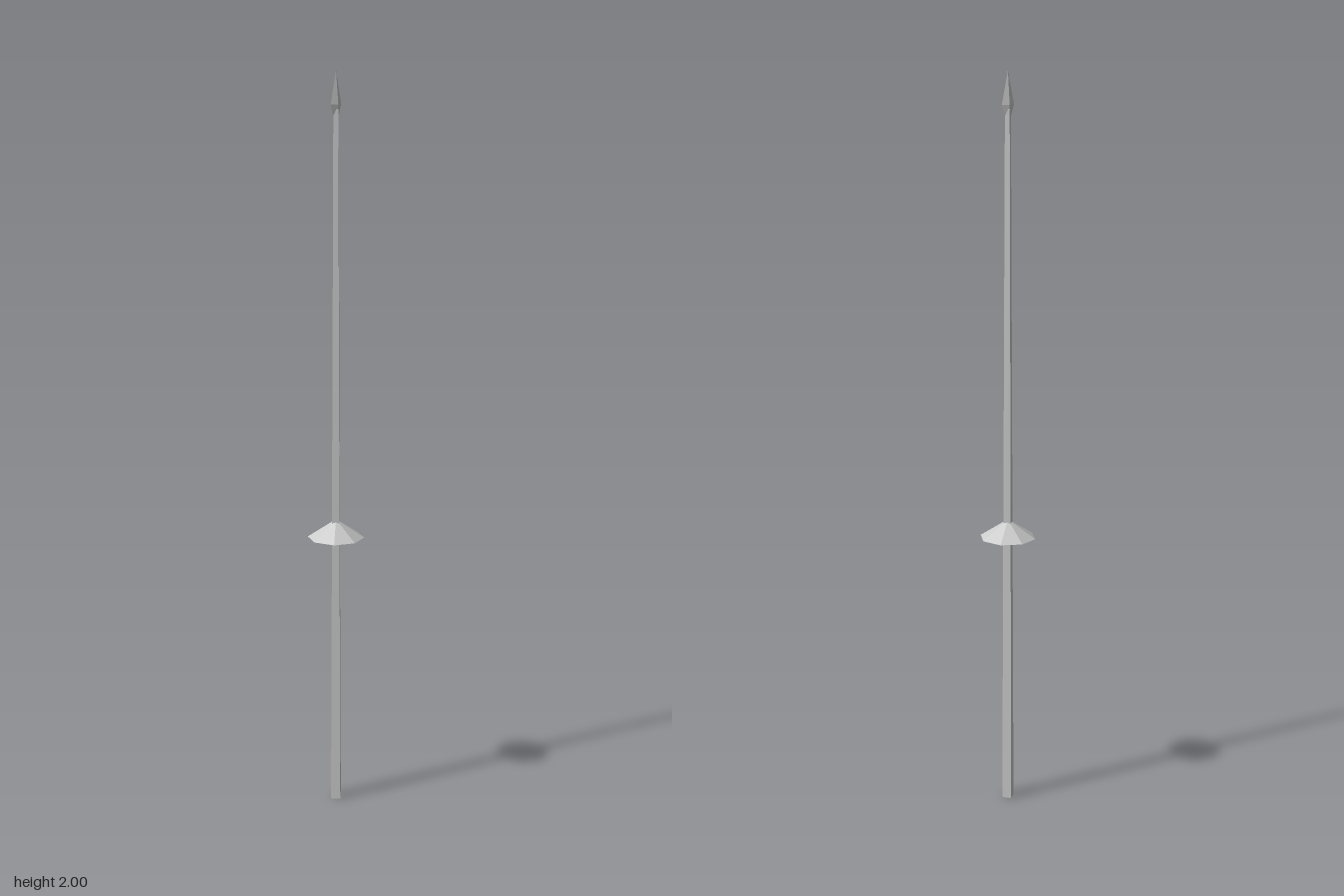
import * as THREE from 'three';

export function createModel() {
  const group = new THREE.Group();
  const solid = new THREE.MeshStandardMaterial({ color: 0xcccccc, flatShading: true });
  const open = new THREE.MeshStandardMaterial({ color: 0xcccccc, flatShading: true, side: THREE.DoubleSide });

  const add = (name, geometry, material, y = 0) => {
    const mesh = new THREE.Mesh(geometry, material);
    mesh.name = name;
    mesh.position.y = y;
    group.add(mesh);
    return mesh;
  };

  // Tapered diamond-section pole
  const poleHeight = 1.9;
  add('pole', new THREE.CylinderGeometry(0.009, 0.018, poleHeight, 4), solid, poleHeight / 2);

  // Conical hand guard, hollow underneath
  const guardHeight = 0.05;
  add('handGuard', new THREE.ConeGeometry(0.076, guardHeight, 8, 1, true), open, 0.753 + guardHeight / 2);

  // Four-sided spear tip, thinner from front to back
  const profile = [[0, 1.885], [0.01, 1.885], [0.018, 1.912], [0, 2]];
  const tip = add('spearTip', new THREE.LatheGeometry(profile.map(([r, y]) => new THREE.Vector2(r, y)), 4), open);
  tip.scale.z = 0.5;

  return group;
}
